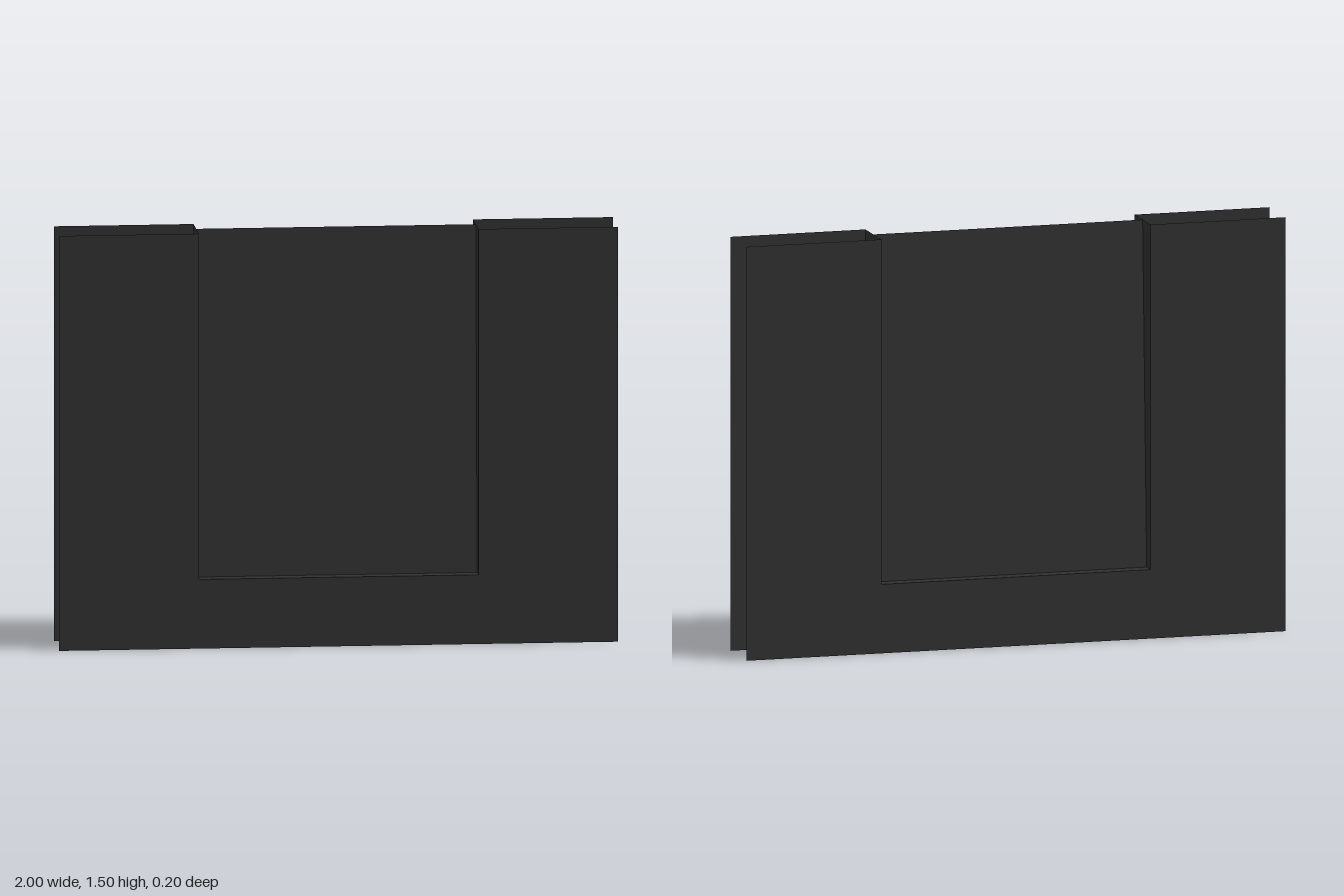
import * as THREE from 'three';

const HALF_W = 1, TOP = 1.5;            // outer sheet
const NOTCH = 0.5, SILL = 0.25;         // recess half width and sill height
const FACE = 0.1, FOOT = 0.05;          // depth of the sheet and of the panel's foot

const charcoal = new THREE.MeshStandardMaterial({ color: 0x303030, side: THREE.DoubleSide });
charcoal.name = 'charcoal';

function part(name, geometry) {
  const mesh = new THREE.Mesh(geometry, charcoal);
  mesh.name = name;
  return mesh;
}

function shape(points) {
  return new THREE.ShapeGeometry(new THREE.Shape(points.map(([x, y]) => new THREE.Vector2(x, y))));
}

// One half: a U-shaped sheet with a recess whose panel leans back to the centre
function createHalf(name) {
  const half = new THREE.Group();
  half.name = name;

  const sheet = shape([
    [-HALF_W, 0], [HALF_W, 0], [HALF_W, TOP], [NOTCH, TOP],
    [NOTCH, SILL], [-NOTCH, SILL], [-NOTCH, TOP], [-HALF_W, TOP],
  ]);
  half.add(part('outerSheet', sheet.translate(0, 0, FACE)));

  // Sloped panel
  const rise = TOP - SILL;
  const panel = new THREE.PlaneGeometry(2 * NOTCH, Math.hypot(rise, FOOT));
  panel.rotateX(-Math.atan2(FOOT, rise)).translate(0, (TOP + SILL) / 2, FOOT / 2);
  half.add(part('slopedPanel', panel));

  // Sill along the bottom of the recess
  const sill = new THREE.PlaneGeometry(2 * NOTCH, FACE - FOOT);
  sill.rotateX(-Math.PI / 2).translate(0, SILL, (FACE + FOOT) / 2);
  half.add(part('sill', sill));

  // Side walls of the recess, both facing inward
  for (const side of [-1, 1]) {
    const wall = shape([[-side * FACE, SILL], [-side * FACE, TOP], [0, TOP], [-side * FOOT, SILL]]);
    wall.rotateY(side * Math.PI / 2 * -1).scale(1, 1, 1);
    // keep the wall on the outer side of the centre plane
    wall.computeBoundingBox();
    if (wall.boundingBox.min.z < -0.01) wall.rotateY(Math.PI);
    half.add(part(side < 0 ? 'rightWall' : 'leftWall', wall.translate(side * NOTCH, 0, 0)));
  }
  return half;
}

export function createModel() {
  const model = new THREE.Group();
  model.name = 'recessedPanel';
  const back = createHalf('backHalf');
  back.rotation.y = Math.PI;
  model.add(createHalf('frontHalf'), back);
  return model;
}
